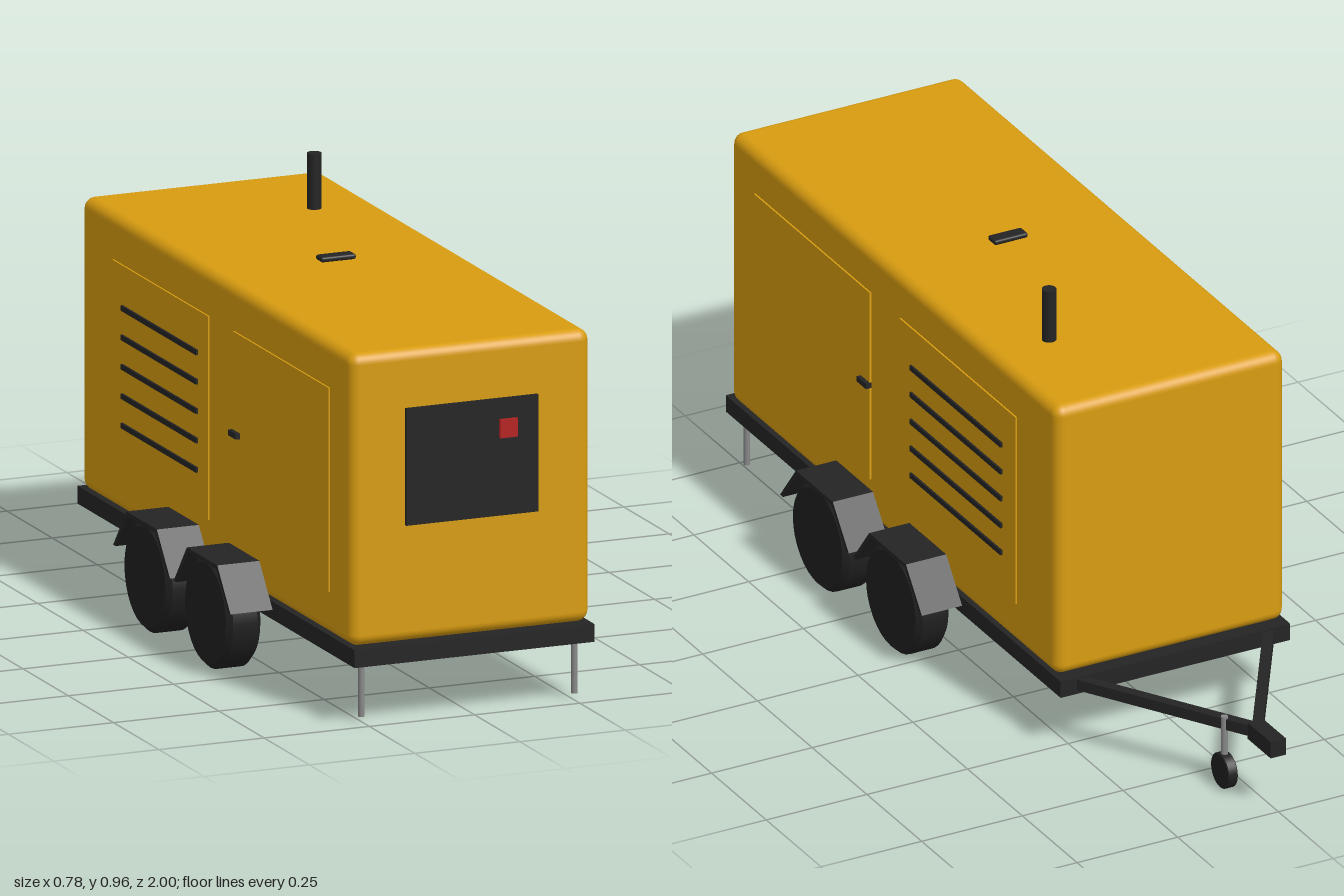
import * as THREE from 'three';
import { RoundedBoxGeometry } from 'three/addons/geometries/RoundedBoxGeometry.js';

const mat = (name, color, extra = {}) => {
  const m = new THREE.MeshStandardMaterial({ color, ...extra });
  m.name = name;
  return m;
};

export function createModel() {
  const yellow = mat('yellow paint', 0xd89c10);
  const black = mat('black steel', 0x242424);
  const rubber = mat('rubber', 0x202020);
  const red = mat('red', 0xb52222);
  const grey = mat('bare steel', 0x888888);

  const model = new THREE.Group();
  model.name = 'trailerGenerator';

  const add = (name, geometry, material, x, y, z) => {
    const mesh = new THREE.Mesh(geometry, material);
    mesh.name = name;
    mesh.position.set(x, y, z);
    model.add(mesh);
    return mesh;
  };
  const box = (name, material, w, h, d, x, y, z) =>
    add(name, new THREE.BoxGeometry(w, h, d), material, x, y, z);
  const rod = (name, material, r, y0, y1, x, z) =>
    add(name, new THREE.CylinderGeometry(r, r, y1 - y0, 20), material, x, (y0 + y1) / 2, z);

  // Wheel with bevelled shoulders, axis along x
  const wheelGeometry = (r, width, bevel) => {
    const h = width / 2;
    const profile = [[0, -h], [r - bevel, -h], [r - bevel, -h], [r, -h + bevel], [r, -h + bevel],
      [r, h - bevel], [r, h - bevel], [r - bevel, h], [r - bevel, h], [0, h]];
    return new THREE.LatheGeometry(profile.map(p => new THREE.Vector2(...p)), 32).rotateZ(Math.PI / 2);
  };

  // Chassis and canopy
  box('chassis', black, 0.57, 0.04, 1.53, 0, 0.155, 0.235);
  add('canopy', new RoundedBoxGeometry(0.57, 0.66, 1.49, 4, 0.025), yellow, 0, 0.505, 0.235);

  // Control panel with emergency stop
  box('controlPanel', black, 0.314, 0.264, 0.009, 0, 0.572, 0.984);
  box('emergencyStop', red, 0.042, 0.042, 0.009, 0.084, 0.637, 0.991);

  // Roof fittings
  add('liftingEye', new RoundedBoxGeometry(0.083, 0.012, 0.034, 3, 0.005), black, 0, 0.848, 0.235);
  rod('exhaust', black, 0.016, 0.82, 0.96, 0.14, -0.21);

  // Fender: bent plate following three sides of the wheel
  const outer = [[-0.157, 0.16], [-0.084, 0.253], [0.084, 0.253], [0.157, 0.16]];
  const inner = [[0.144, 0.16], [0.078, 0.243], [-0.078, 0.243], [-0.144, 0.16]];
  const fenderShape = new THREE.Shape([...outer, ...inner].map(p => new THREE.Vector2(...p)));
  const fenderGeometry = new THREE.ExtrudeGeometry(fenderShape, { depth: 0.1, bevelEnabled: false })
    .translate(0, 0, -0.05).rotateY(Math.PI / 2);
  const tyreGeometry = wheelGeometry(0.125, 0.082, 0.012);

  for (const s of [1, -1]) {
    const side = s > 0 ? 'left' : 'right';

    // Doors, latch and louvres
    box(side + 'FrontDoor', yellow, 0.008, 0.46, 0.53, s * 0.285, 0.505, 0.6);
    box(side + 'RearDoor', yellow, 0.008, 0.46, 0.53, s * 0.285, 0.505, -0.065);
    box(side + 'DoorLatch', black, 0.014, 0.013, 0.042, s * 0.292, 0.507, 0.355);
    for (let i = 0; i < 5; i++)
      box(side + 'Louvre', black, 0.009, 0.012, 0.415, s * 0.2895, 0.375 + i * 0.0663, -0.063);

    // Twin wheels under fenders
    for (const z of [0.402, 0.068]) {
      add(side + 'Wheel', tyreGeometry, rubber, s * 0.341, 0.125, z);
      add(side + 'Fender', fenderGeometry, black, s * 0.34, 0, z);
    }

    // Stabiliser leg
    rod(side + 'StabiliserLeg', grey, 0.007, 0.014, 0.14, s * 0.253, 0.963);

    // Drawbar arm from chassis corner to hitch
    const dx = 0.24, dz = 0.39;
    const arm = box(side + 'DrawbarArm', black, 0.024, 0.026, Math.hypot(dx, dz), s * 0.12, 0.157, -0.71);
    arm.rotation.y = Math.atan2(s * dx, dz);
  }

  // Hitch and jockey wheel
  box('hitch', black, 0.038, 0.04, 0.105, 0, 0.156, -0.9475);
  rod('jockeyLeg', grey, 0.008, 0.045, 0.175, 0.048, -0.842);
  add('jockeyWheel', wheelGeometry(0.041, 0.024, 0.002), rubber, 0.048, 0.043, -0.842);

  return model;
}
